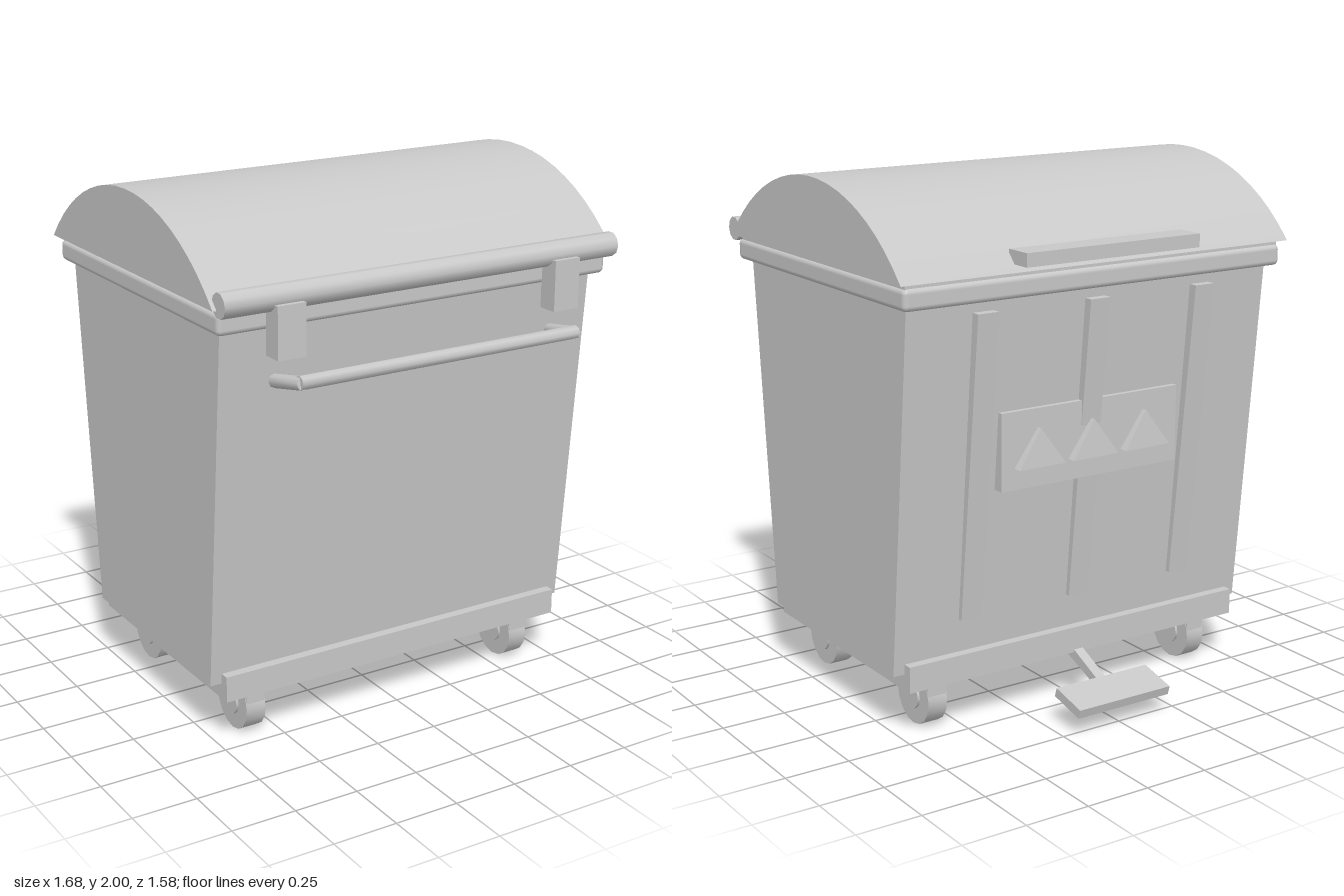
import * as THREE from 'three';
import { toCreasedNormals } from 'three/addons/utils/BufferGeometryUtils.js';
import { RoundedBoxGeometry } from 'three/addons/geometries/RoundedBoxGeometry.js';

export function createModel() {
  const model = new THREE.Group();
  model.name = 'wheeledContainer';
  const grey = new THREE.MeshStandardMaterial({ color: 0xc8c8c8 });
  grey.name = 'grey';

  const add = (name, geometry, x = 0, y = 0, z = 0) => {
    const mesh = new THREE.Mesh(geometry, grey);
    mesh.name = name;
    mesh.position.set(x, y, z);
    model.add(mesh);
    return mesh;
  };
  // Box given by its minimum and maximum corners
  const box = (name, x0, x1, y0, y1, z0, z1) =>
    add(name, new THREE.BoxGeometry(x1 - x0, y1 - y0, z1 - z0),
      (x0 + x1) / 2, (y0 + y1) / 2, (z0 + z1) / 2);
  // Side profile of [z, y] points, extruded along x and centred on the given x
  const slab = (name, points, width, x = 0) => {
    const shape = new THREE.Shape(points.map(([z, y]) => new THREE.Vector2(-z, y)));
    const g = new THREE.ExtrudeGeometry(shape, { depth: width, bevelEnabled: false });
    g.translate(0, 0, -width / 2).rotateY(Math.PI / 2);
    return add(name, toCreasedNormals(g, 0.4), x, 0, 0);
  };
  // Round bar between two points
  const bar = (name, a, b, r, sides = 8) => {
    const from = new THREE.Vector3(...a), to = new THREE.Vector3(...b);
    const dir = to.clone().sub(from);
    const g = toCreasedNormals(new THREE.CylinderGeometry(r, r, dir.length(), sides), 0.9);
    const mesh = add(name, g);
    mesh.position.copy(from).add(to).multiplyScalar(0.5);
    mesh.quaternion.setFromUnitVectors(new THREE.Vector3(0, 1, 0), dir.normalize());
    return mesh;
  };

  // Tapered body, base tray and rim
  slab('body', [[0.46, 0.25], [-0.45, 0.25], [-0.575, 1.63], [0.58, 1.63]], 1.57);
  box('base', -0.74, 0.74, 0.19, 0.29, -0.49, 0.5);
  add('rim', new RoundedBoxGeometry(1.64, 0.08, 1.255, 2, 0.02), 0, 1.65, 0.005);
  box('lidSeat', -0.81, 0.81, 1.68, 1.71, -0.61, 0.61);

  // Domed lid as a circular segment
  const half = 0.637, rise = 0.295, radius = (half * half + rise * rise) / (2 * rise);
  const sweep = Math.asin(half / radius), arc = [];
  for (let i = 0; i <= 20; i++) {
    const t = sweep * (1 - i / 10);
    arc.push([radius * Math.sin(t), 2 - radius + radius * Math.cos(t)]);
  }
  slab('lid', arc, 1.68);
  box('lidHandle', -0.375, 0.375, 1.73, 1.78, -0.69, -0.58);

  // Hinge rod and brackets along the front
  bar('hingeRod', [-0.825, 1.725, 0.65], [0.825, 1.725, 0.65], 0.046, 10);
  for (const s of [-1, 1])
    box('hingeBracket', s * 0.58 - 0.055, s * 0.58 + 0.055, 1.52, 1.71, 0.63, 0.71);

  // Push handle
  bar('pushHandle', [-0.585, 1.45, 0.763], [0.585, 1.45, 0.763], 0.026);
  for (const s of [-1, 1])
    bar('pushHandleArm', [s * 0.59, 1.417, 0.605], [s * 0.575, 1.45, 0.77], 0.025);

  // Vertical ribs on the back
  for (const x of [-0.475, 0, 0.475])
    slab('backRib', [[-0.44, 0.42], [-0.484, 0.42], [-0.605, 1.57], [-0.54, 1.57]], 0.085, x);

  // Back plate with three triangular wedges
  box('backPlate', -0.39, 0.39, 0.9, 1.19, -0.555, -0.48);
  for (const x of [-0.235, 0, 0.235]) {
    const shape = new THREE.Shape([
      new THREE.Vector2(-0.1, 0.98), new THREE.Vector2(0.1, 0.98), new THREE.Vector2(0, 1.12)]);
    const g = new THREE.ExtrudeGeometry(shape, { depth: 0.05, bevelEnabled: false });
    g.translate(0, 0, -0.575);
    // lean the outer face out towards its lower edge
    const p = g.attributes.position;
    for (let i = 0; i < p.count; i++)
      if (p.getZ(i) < -0.55 && p.getY(i) < 1) p.setZ(i, -0.59);
    g.computeVertexNormals();
    add('triangleWedge', g, x);
  }

  // Foot pedal
  slab('pedalArm', [[-0.44, 0.205], [-0.44, 0.175], [-0.63, 0.1], [-0.645, 0.13], [-0.48, 0.205]], 0.04);
  slab('pedal', [[-0.63, 0.105], [-0.78, 0.07], [-0.79, 0.105], [-0.64, 0.14]], 0.41);

  // Castors: tyre, hub and mount
  for (const x of [-0.6, 0.6]) {
    for (const z of [-0.34, 0.355]) {
      const disc = (name, r, width, sides) => {
        const g = new THREE.CylinderGeometry(r, r, width, sides).rotateZ(Math.PI / 2);
        return add(name, toCreasedNormals(g, 0.6), x, 0.11, z);
      };
      disc('wheel', 0.11, 0.08, 16);
      disc('wheelHub', 0.05, 0.1, 12);
      box('wheelMount', x - 0.038, x + 0.038, 0.11, 0.2, z - 0.105, z + 0.105);
    }
  }
  return model;
}
